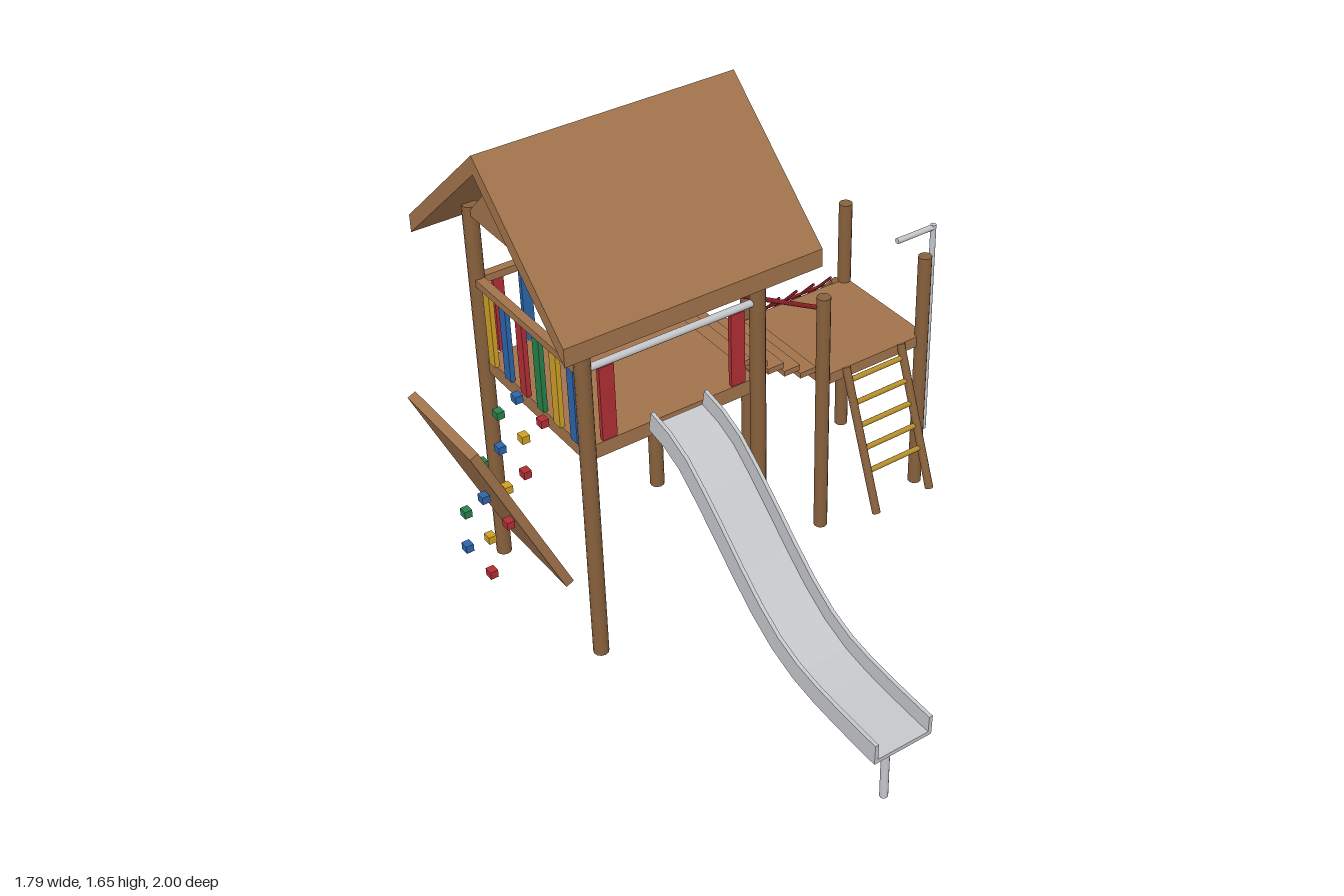
import * as THREE from 'three';

const mat = (name, color, extra = {}) => {
  const m = new THREE.MeshStandardMaterial({ color, ...extra });
  m.name = name;
  return m;
};

export function createModel() {
  const root = new THREE.Group();
  root.name = 'playground';
  const plank = mat('plank wood', 0xa0724b);
  const post = mat('post wood', 0x87603c);
  const metal = mat('metal', 0xc4c6ca);
  const slideMetal = metal;
  const rope = mat('rope', 0x8c2028);
  const red = mat('red paint', 0xb02e34);
  const blue = mat('blue paint', 0x2d64aa);
  const yellow = mat('yellow paint', 0xcc9f26);
  const green = mat('green paint', 0x268048);
  const rungPaint = mat('rung paint', 0xb8902c);

  const add = (name, geo, material, parent = root) => {
    const m = new THREE.Mesh(geo, material);
    m.name = name;
    parent.add(m);
    return m;
  };
  const group = (name) => {
    const g = new THREE.Group();
    g.name = name;
    root.add(g);
    return g;
  };
  // Box given by its limits on each axis
  const box = (name, x0, x1, y0, y1, z0, z1, material, parent) => {
    const m = add(name, new THREE.BoxGeometry(x1 - x0, y1 - y0, z1 - z0), material, parent);
    m.position.set((x0 + x1) / 2, (y0 + y1) / 2, (z0 + z1) / 2);
    return m;
  };
  // Round bar between two points
  const rod = (name, a, b, r, material, parent, sides = 12) => {
    const p = new THREE.Vector3(...a), q = new THREE.Vector3(...b);
    const d = q.clone().sub(p);
    const m = add(name, new THREE.CylinderGeometry(r, r, d.length(), sides), material, parent);
    m.position.copy(p).add(q).multiplyScalar(0.5);
    m.quaternion.setFromUnitVectors(new THREE.Vector3(0, 1, 0), d.normalize());
    return m;
  };
  // Outline of [z, y] points extruded along x
  const extrudeX = (name, pts, x0, x1, material, parent) => {
    const s = new THREE.Shape(pts.map(([z, y]) => new THREE.Vector2(-z, y)));
    const geo = new THREE.ExtrudeGeometry(s, { depth: x1 - x0, bevelEnabled: false });
    geo.rotateY(Math.PI / 2).translate(x0, 0, 0);
    return add(name, geo, material, parent);
  };

  // Main tower
  const tower = group('mainTower');
  for (const x of [-0.6, 0.005])
    for (const z of [-0.1, -0.7])
      rod('towerPost', [x, 0, z], [x, 1.32, z], 0.025, post, tower);
  box('towerFloor', -0.6, 0.005, 0.73, 0.78, -0.69, -0.11, plank, tower);

  // Gabled roof with upright eave edges
  extrudeX('roof', [[-0.4, 1.655], [0.035, 1.26], [0.035, 1.2], [-0.4, 1.595],
    [-0.84, 1.2], [-0.84, 1.26]], -0.73, 0.14, plank, tower);
  for (const x of [-0.6, 0.005])
    extrudeX('gable', [[-0.4, 1.595], [-0.1, 1.29], [-0.7, 1.29]], x - 0.01, x + 0.01, plank, tower);

  // Back and side railings with coloured slats
  const colours = [red, blue, yellow, green];
  box('backRail', -0.58, -0.02, 1.045, 1.07, -0.715, -0.685, plank, tower);
  box('sideRail', -0.615, -0.585, 1.045, 1.07, -0.68, -0.12, plank, tower);
  for (let i = 0; i < 6; i++) {
    const x = -0.533 + i * 0.0945;
    box('backSlat', x - 0.018, x + 0.018, 0.78, 1.045, -0.708, -0.692, colours[i % 4], tower);
    const z = -0.162 - i * 0.0952;
    box('sideSlat', -0.608, -0.592, 0.78, 1.045, z - 0.018, z + 0.018, colours[(i + 1) % 4], tower);
  }
  // Front panels and bar over the slide
  for (const x of [-0.525, -0.07])
    box('frontPanel', x - 0.025, x + 0.025, 0.795, 1.05, -0.11, -0.095, red, tower);
  rod('frontBar', [-0.6, 1.063, -0.1], [0.005, 1.063, -0.1], 0.012, metal, tower);

  // Slide: open channel lofted along its top edge heights
  const slide = group('slide');
  const tops = [0.845, 0.826, 0.786, 0.717, 0.64, 0.56, 0.487, 0.43, 0.396, 0.38, 0.372, 0.367, 0.364];
  const path = tops.map((y, i) => new THREE.Vector2(-0.07 + i * 1.07 / 12, y));
  const channel = [[-0.1, 0], [-0.1, -0.07], [0.1, -0.07], [0.1, 0],
    [0.088, 0], [0.088, -0.056], [-0.088, -0.056], [-0.088, 0]];
  const rings = path.map((p, i) => {
    const t = path[Math.min(i + 1, 12)].clone().sub(path[Math.max(i - 1, 0)]).normalize();
    return channel.map(([u, v]) => [-0.3 + u, p.y + v * t.x, p.x - v * t.y]);
  });
  const pos = [];
  const quad = (a, b, c, d) => pos.push(...a, ...b, ...c, ...a, ...c, ...d);
  for (let i = 0; i < 12; i++)
    for (let j = 0; j < 8; j++) {
      const k = (j + 1) % 8;
      quad(rings[i][j], rings[i][k], rings[i + 1][k], rings[i + 1][j]);
    }
  for (const [r, flip] of [[rings[0], true], [rings[12], false]])
    for (const q of [[0, 1, 6, 7], [1, 2, 5, 6], [2, 3, 4, 5]]) {
      const c = q.map((n) => r[n]);
      quad(...(flip ? c.reverse() : c));
    }
  const slideGeo = new THREE.BufferGeometry();
  slideGeo.setAttribute('position', new THREE.Float32BufferAttribute(pos, 3));
  slideGeo.computeVertexNormals();
  add('slideChannel', slideGeo, slideMetal, slide);
  rod('slideLeg', [-0.3, 0.05, 0.925], [-0.3, 0.305, 0.925], 0.013, metal, slide);

  // Leaning climbing board and its holds
  const climb = group('climbingWall');
  const board = box('climbingBoard', -0.015, 0.015, -0.342, 0.342, -0.19, 0.19, plank, climb);
  board.position.set(-0.742, 0.472, -0.453);
  board.rotation.z = Math.atan2(0.278, 0.62);
  for (let i = 0; i < 7; i++) {
    const x = -0.843 + i * 0.0357, y = 0.3 + i * 0.079;
    const pair = i % 2 ? [[-0.365, yellow], [-0.515, green]] : [[-0.305, red], [-0.455, blue]];
    for (const [z, m] of pair)
      box('climbingHold', x - 0.013, x + 0.013, y - 0.013, y + 0.013, z - 0.015, z + 0.015, m, climb);
  }

  // Stepped bridge with rope handrails
  const bridge = group('bridge');
  for (let i = 0; i < 5; i++) {
    const x = 0.04 + i * 0.0635, y = 0.747 - i * 0.034;
    box('bridgePlank', x - 0.031, x + 0.031, y - 0.01, y + 0.01, -0.58, -0.228, plank, bridge);
  }
  for (const z of [-0.235, -0.572])
    rod('bridgeRope', [0.005, 1.015, z], [0.325, 0.845, z], 0.008, rope, bridge, 8);

  // Small tower
  const small = group('smallTower');
  for (const x of [0.325, 0.732])
    for (const z of [-0.193, -0.607])
      rod('smallPost', [x, 0, z], [x, 0.905, z], 0.023, post, small);
  box('smallFloor', 0.325, 0.745, 0.565, 0.603, -0.61, -0.19, plank, small);

  // Sliding pole
  rod('poleArm', [0.732, 0.89, -0.335], [0.885, 0.89, -0.335], 0.01, metal, small);
  rod('pole', [0.885, 0.07, -0.335], [0.885, 0.9, -0.335], 0.01, metal, small);

  // Front ladder
  const ladder = group('ladder');
  for (const x of [0.417, 0.642])
    rod('ladderRail', [x, 0.605, -0.19], [x, 0.12, -0.012], 0.014, post, ladder);
  for (let i = 0; i < 5; i++) {
    const y = 0.26 + i * 0.075, z = -0.012 - (y - 0.12) * 0.367;
    rod('ladderRung', [0.417, y, z], [0.642, y, z], 0.009, rungPaint, ladder, 8);
  }

  // Rear climbing net between two sloping rails
  const net = group('climbingNet');
  for (const x of [0.357, 0.7])
    rod('netRail', [x, 0.605, -0.61], [x, 0.185, -0.985], 0.017, post, net);
  const netY = (z) => 0.63 + (z + 0.61) * 1.06;
  for (let i = 0; i < 5; i++) {
    const x = 0.387 + i * 0.0722, z = -0.677 - i * 0.065;
    rod('netLengthRope', [x, netY(-0.61), -0.61], [x, netY(-0.985), -0.985], 0.005, rope, net, 6);
    rod('netCrossRope', [0.357, netY(z), z], [0.7, netY(z), z], 0.005, rope, net, 6);
  }
  return root;
}
